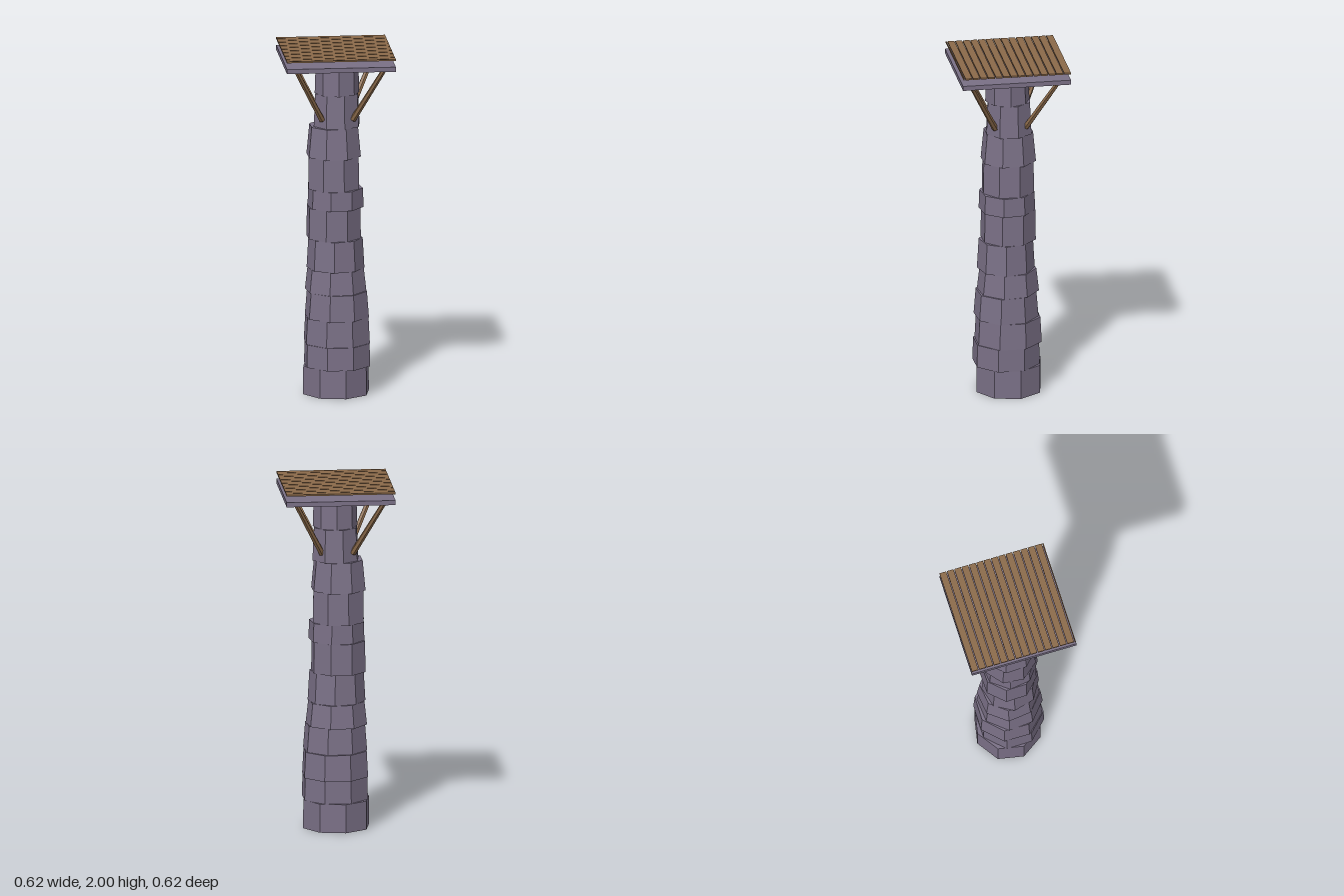
import * as THREE from 'three';

export function createModel() {
  const model = new THREE.Group();
  const stone = new THREE.MeshStandardMaterial({ color: 0x7a7086, flatShading: true });
  stone.name = 'stone';
  const wood = new THREE.MeshStandardMaterial({ color: 0x8b6a4a, flatShading: true });
  wood.name = 'wood';

  const add = (name, geometry, material, x, y, z) => {
    const mesh = new THREE.Mesh(geometry, material);
    mesh.name = name;
    mesh.position.set(x, y, z);
    model.add(mesh);
    return mesh;
  };

  // Stacked octagonal stones: [bottom y, bottom radius, top radius, x, z, twist in degrees]
  const courses = [
    [0, 0.195, 0.194, 0, -0.003, 11.5],
    [0.165, 0.195, 0.192, 0.005, 0.012, 23],
    [0.297, 0.196, 0.188, 0.005, 0, 22],
    [0.447, 0.186, 0.174, 0.004, 0.012, 27],
    [0.597, 0.177, 0.162, -0.002, 0, 29],
    [0.73, 0.164, 0.154, -0.004, 0.012, 37],
    [0.905, 0.16, 0.157, -0.013, -0.003, 24],
    [1.085, 0.161, 0.157, -0.003, 0.006, 30],
    [1.195, 0.156, 0.153, -0.013, -0.002, 17],
    [1.38, 0.16, 0.143, -0.013, -0.004, 24],
    [1.555, 0.138, 0.129, 0.004, -0.004, 14],
    [1.745, 0.127, 0.121, 0.005, 0.005, 0],
  ];
  courses.forEach(([y, bottom, top, x, z, twist], i) => {
    const end = i + 1 < courses.length ? courses[i + 1][0] : 1.935;
    const block = new THREE.CylinderGeometry(top, bottom, end - y, 8);
    add('stoneCourse', block, stone, x, (y + end) / 2, z).rotation.y = THREE.MathUtils.degToRad(twist);
  });

  // Stone slab on top of the column
  add('platformSlab', new THREE.BoxGeometry(0.62, 0.027, 0.62), stone, 0, 1.942, 0);

  // Thin deck boards floating just above the slab, the last one cut narrow
  const pitch = 0.0436, gap = 0.005, start = -0.31, finish = 0.306;
  for (let z = start; z < finish; z += pitch) {
    const width = Math.min(pitch - gap, finish - z);
    add('deckBoard', new THREE.BoxGeometry(0.62, 0.009, width), wood, 0, 1.9955, z + width / 2);
  }

  // Diagonal braces from the column to the slab corners
  const up = new THREE.Vector3(0, 1, 0);
  for (const sx of [-1, 1]) {
    for (const sz of [-1, 1]) {
      const low = new THREE.Vector3(sx * 0.088, 1.605, sz * 0.088);
      const high = new THREE.Vector3(sx * 0.25, 1.928, sz * 0.25);
      const span = high.clone().sub(low);
      const mid = low.clone().add(high).multiplyScalar(0.5);
      const brace = add('brace', new THREE.CylinderGeometry(0.014, 0.018, span.length(), 6), wood, mid.x, mid.y, mid.z);
      brace.quaternion.setFromUnitVectors(up, span.normalize());
    }
  }

  return model;
}
